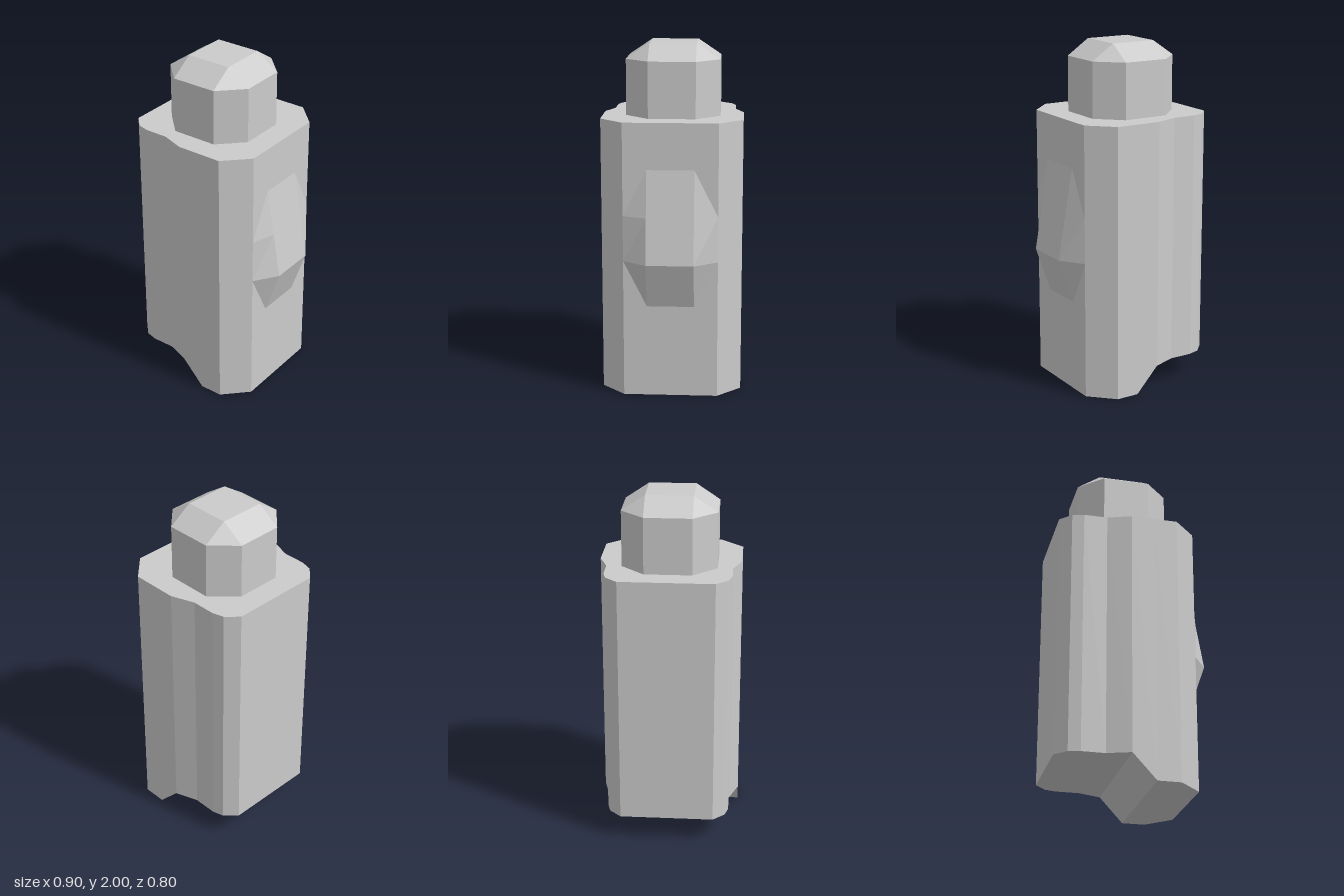
import * as THREE from 'three';

const material = new THREE.MeshStandardMaterial({ color: 0xcccccc, flatShading: true });

// Skin closed rings (counter-clockwise about the travel direction) and cap both ends.
function loft(name, rings) {
  const positions = [];
  const ab = new THREE.Vector3(), ac = new THREE.Vector3();
  const tri = (a, b, c) => {
    ab.subVectors(b, a);
    ac.subVectors(c, a);
    if (ab.cross(ac).length() < 1e-7) return; // skip collapsed corners
    for (const p of [a, b, c]) positions.push(p.x, p.y, p.z);
  };
  const n = rings[0].length;
  for (let i = 0; i < rings.length - 1; i++) {
    for (let j = 0; j < n; j++) {
      const k = (j + 1) % n;
      tri(rings[i][j], rings[i][k], rings[i + 1][k]);
      tri(rings[i][j], rings[i + 1][k], rings[i + 1][j]);
    }
  }
  const first = rings[0], last = rings[rings.length - 1];
  for (let j = 1; j < n - 1; j++) {
    tri(first[0], first[j + 1], first[j]);
    tri(last[0], last[j], last[j + 1]);
  }
  const geometry = new THREE.BufferGeometry();
  geometry.setAttribute('position', new THREE.Float32BufferAttribute(positions, 3));
  geometry.computeVertexNormals();
  const mesh = new THREE.Mesh(geometry, material);
  mesh.name = name;
  return mesh;
}

const v = (x, y, z) => new THREE.Vector3(x, y, z);

export function createModel() {
  const group = new THREE.Group();
  group.name = 'block';

  // Body: sections along x as [x, half width, underside height]
  const bodyTop = 1.59;
  const stations = [
    [-0.45, 0.268, 0.147], [-0.385, 0.336, 0.147], [-0.318, 0.354, 0.147],
    [-0.182, 0.354, 0.147], [-0.048, 0.402, 0.147], [0.087, 0.402, 0],
    [0.221, 0.402, 0], [0.355, 0.268, 0],
  ];
  group.add(loft('body', stations.map(([x, w, b]) =>
    [v(x, b, -w), v(x, bodyTop, -w), v(x, bodyTop, w), v(x, b, w)])));

  // Head: chamfered square column whose top slopes in to a smaller square
  const r = 0.268, c = 0.134, headX = -0.048;
  const octagon = [[r, -c], [r, c], [c, r], [-c, r], [-r, c], [-r, -c], [-c, -r], [c, -r]];
  const headRing = (y, limit) => octagon.map(([z, x]) => v(
    headX + THREE.MathUtils.clamp(x, -limit, limit), y, THREE.MathUtils.clamp(z, -limit, limit)));
  group.add(loft('head', [headRing(bodyTop, r), headRing(1.91, r), headRing(2, c)]));

  // Side bulge: rows as [height, outer x, base half width]
  const wall = 0.355;
  const rows = [[0.535, wall, c], [0.8, 0.447, r], [1.06, 0.402, r], [1.325, wall, c]];
  group.add(loft('sideBulge', rows.map(([y, x, w]) =>
    [v(wall, y, w), v(x, y, c), v(x, y, -c), v(wall, y, -w)])));

  return group;
}
